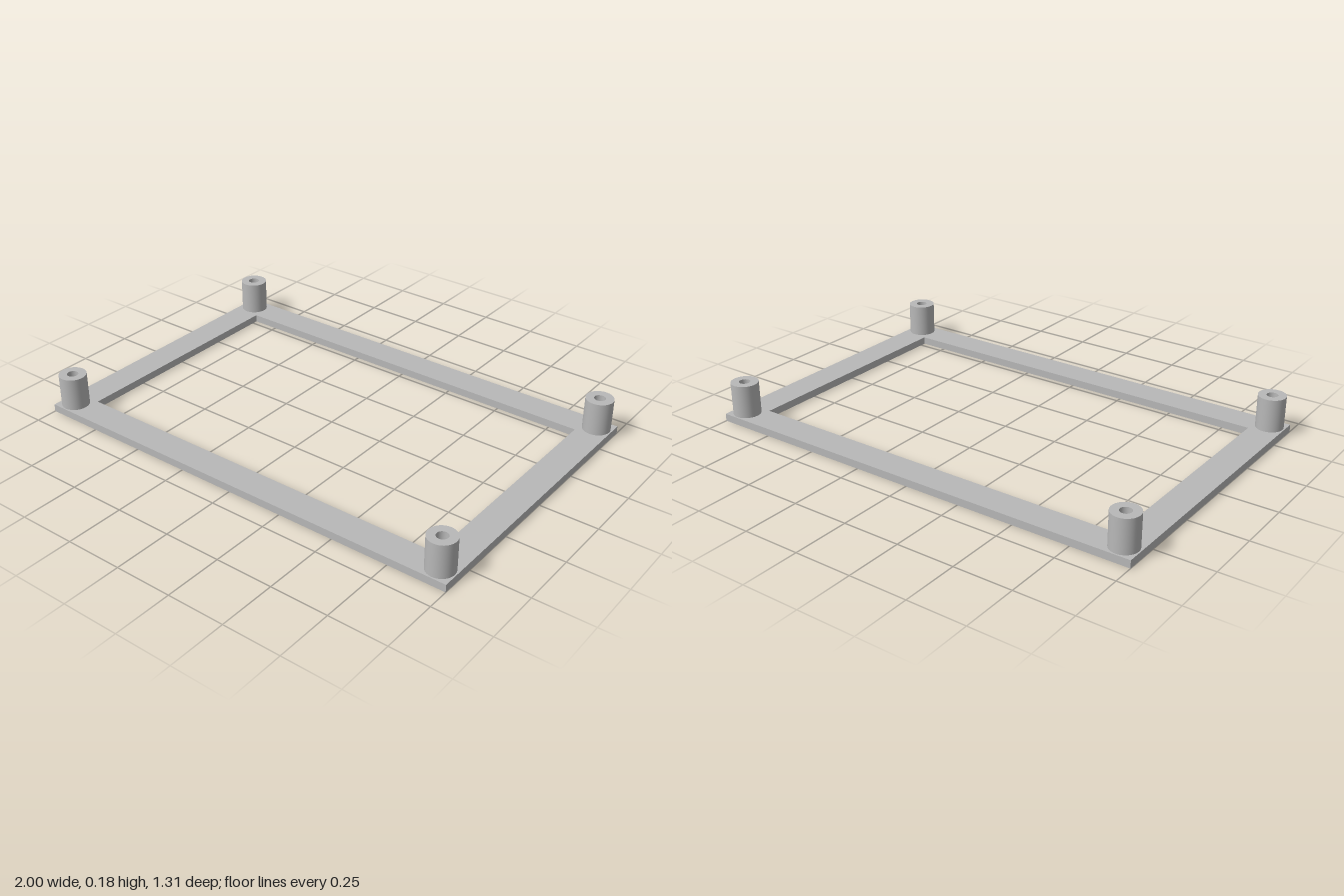
import * as THREE from 'three';
import { mergeGeometries } from 'three/addons/utils/BufferGeometryUtils.js';

const FRAME_H = 0.033, TOP = 0.177;
const POST_R = 0.059, HOLE_R = 0.024;

// Rectangle outline centred on the origin
function rectangle(path, halfW, halfD) {
  path.moveTo(-halfW, -halfD);
  path.lineTo(halfW, -halfD);
  path.lineTo(halfW, halfD);
  path.lineTo(-halfW, halfD);
  path.closePath();
  return path;
}

// Flat rectangular frame with an open middle
function frameGeometry() {
  const shape = rectangle(new THREE.Shape(), 1, 0.655);
  shape.holes.push(rectangle(new THREE.Path(), 0.87, 0.525));
  const geometry = new THREE.ExtrudeGeometry(shape, { depth: FRAME_H, bevelEnabled: false });
  return geometry.rotateX(-Math.PI / 2);
}

// Hollow post: outer wall, rim and bore turned separately to keep the edges sharp
function postGeometry() {
  const profile = [[POST_R, FRAME_H], [POST_R, TOP], [HOLE_R, TOP], [HOLE_R, FRAME_H]]
    .map(([r, y]) => new THREE.Vector2(r, y));
  const bands = [0, 1, 2].map(i => new THREE.LatheGeometry(profile.slice(i, i + 2), 48));
  return mergeGeometries(bands);
}

export function createModel() {
  const grey = new THREE.MeshStandardMaterial({ color: 0xb8b8b8 });
  grey.name = 'grey';
  const model = new THREE.Group();
  model.name = 'mountingFrame';

  const frame = new THREE.Mesh(frameGeometry(), grey);
  frame.name = 'frame';
  model.add(frame);

  // One standoff post at each corner
  const post = postGeometry();
  for (const [zName, z] of [['front', 0.59], ['back', -0.59]]) {
    for (const [xName, x] of [['Left', 0.935], ['Right', -0.935]]) {
      const mesh = new THREE.Mesh(post, grey);
      mesh.name = `${zName}${xName}Post`;
      mesh.position.set(x, 0, z);
      model.add(mesh);
    }
  }
  return model;
}
